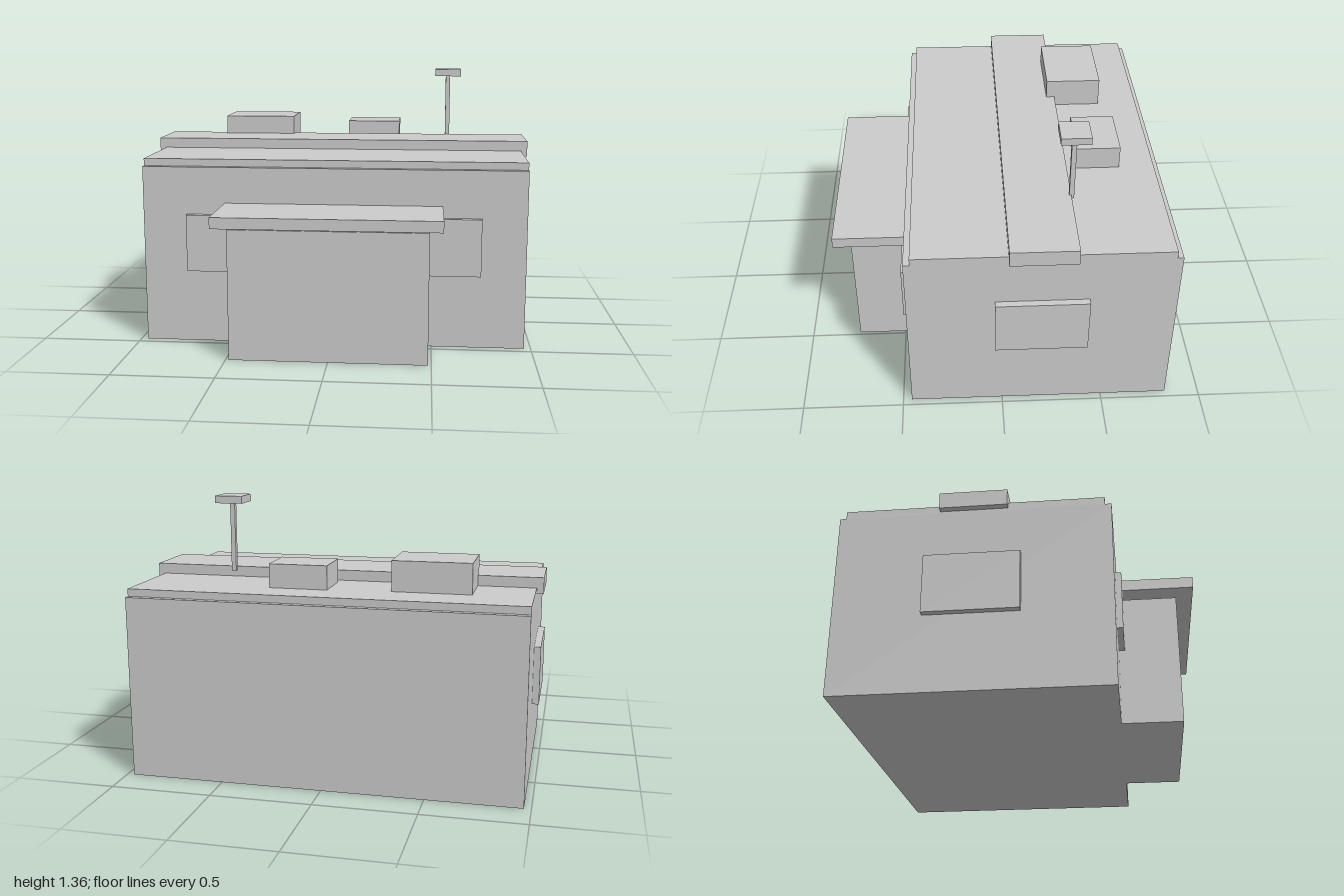
import * as THREE from 'three';

const material = new THREE.MeshStandardMaterial({ color: 0xcccccc, flatShading: true });

// Box given by its min/max extent on each axis
function block(name, [x0, x1], [y0, y1], [z0, z1]) {
  const mesh = new THREE.Mesh(new THREE.BoxGeometry(x1 - x0, y1 - y0, z1 - z0), material);
  mesh.position.set((x0 + x1) / 2, (y0 + y1) / 2, (z0 + z1) / 2);
  mesh.name = name;
  return mesh;
}

export function createModel() {
  const model = new THREE.Group();
  model.name = 'building';

  // Main hall with a slightly inset roof slab and a raised band across it
  model.add(
    block('mainHall', [-0.966, 0.966], [0, 0.905], [-0.83, 0.457]),
    block('roofSlab', [-0.966, 0.966], [0.905, 0.942], [-0.8, 0.426]),
    block('roofBand', [-1, 1], [0.914, 0.994], [-0.347, -0.026]),
  );

  // Entrance porch under a floating canopy
  model.add(
    block('porch', [-0.484, 0.484], [0, 0.648], [0.457, 0.747]),
    block('canopy', [-0.548, 0.548], [0.668, 0.723], [0.457, 0.83]),
  );

  // Window panels, mirrored left and right
  for (const [side, s] of [['left', 1], ['right', -1]]) {
    const span = (a, b) => (s > 0 ? [a, b] : [-b, -a]);
    model.add(
      block(side + 'FrontWindow', span(0.42, 0.742), [0.374, 0.664], [0.457, 0.486]),
      block(side + 'SideWindow', span(0.966, 1), [0.374, 0.664], [-0.412, 0.037]),
    );
  }

  // Rooftop equipment
  model.add(
    block('largeRoofUnit', [-0.68, -0.293], [0.942, 1.092], [-0.591, -0.303]),
    block('smallRoofUnit', [0.015, 0.305], [0.942, 1.06], [-0.622, -0.4]),
  );

  // Mast with a square cap
  const mast = new THREE.Group();
  mast.name = 'mast';
  mast.add(
    block('mastPole', [0.566, 0.59], [0.973, 1.325], [-0.361, -0.337]),
    block('mastCap', [0.507, 0.648], [1.325, 1.362], [-0.421, -0.278]),
  );
  model.add(mast);

  return model;
}
